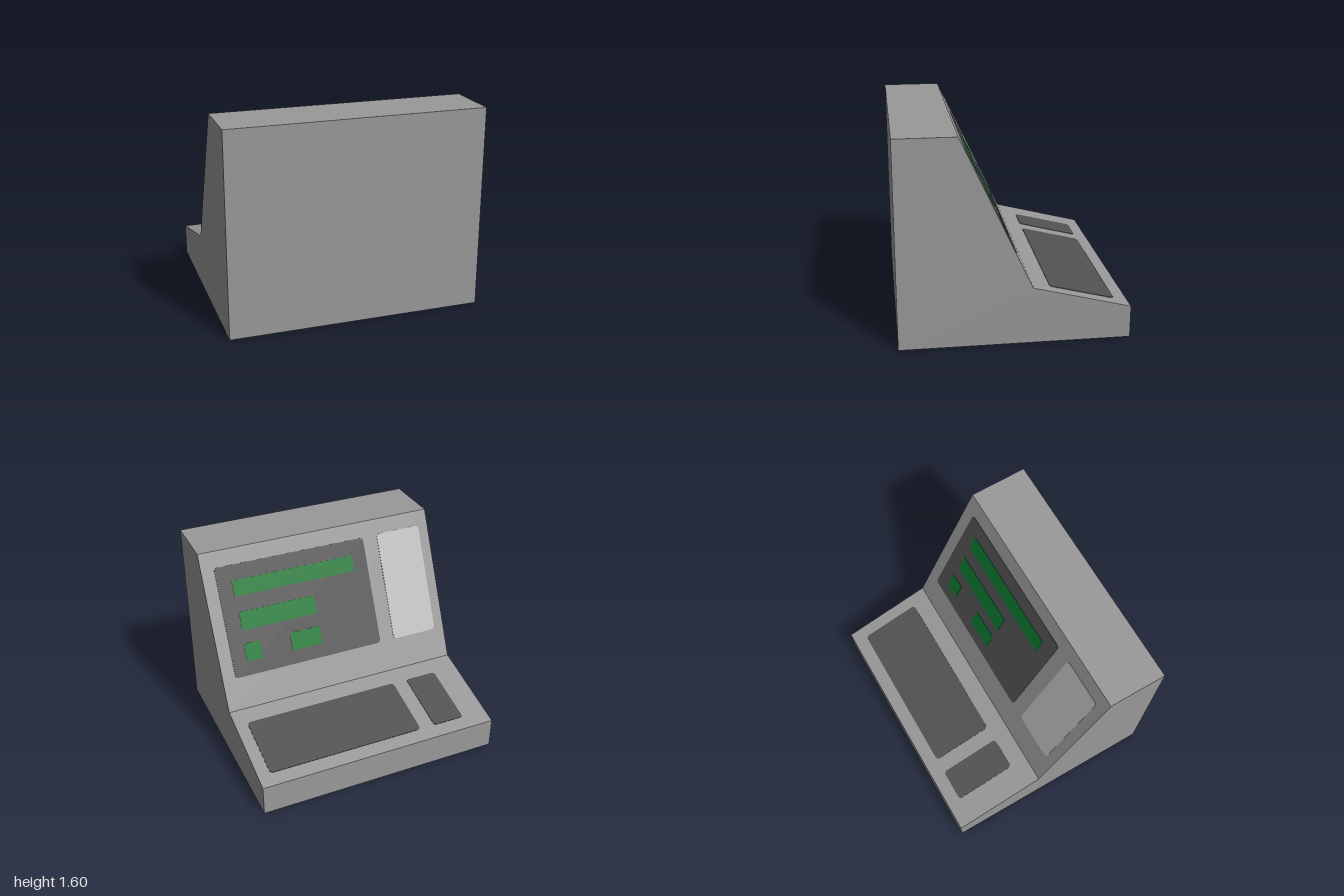
import * as THREE from 'three';

const mat = (name, color) => {
  const m = new THREE.MeshStandardMaterial({ color });
  m.name = name;
  return m;
};

// Side outline as [z, y]; the sloped desk and screen faces look towards -z
const DESK_EDGE = [-0.875, 0.25], HINGE = [-0.13, 0.44], SCREEN_TOP = [0.41, 1.6];
const OUTLINE = [[-0.875, 0], [0.875, 0], [0.875, 1.6], SCREEN_TOP, HINGE, DESK_EDGE];

function roundedRect(w, h, r) {
  const s = new THREE.Shape();
  const x = w / 2, y = h / 2;
  s.absarc(x - r, y - r, r, 0, Math.PI / 2);
  s.absarc(-x + r, y - r, r, Math.PI / 2, Math.PI);
  s.absarc(-x + r, -y + r, r, Math.PI, Math.PI * 1.5);
  s.absarc(x - r, -y + r, r, Math.PI * 1.5, Math.PI * 2);
  s.closePath();
  return s;
}

// Group whose local xy plane lies on the sloped face from low to high
function slopedFace(name, low, high) {
  const face = new THREE.Group();
  face.name = name;
  const u = new THREE.Vector3(-1, 0, 0);
  const v = new THREE.Vector3(0, high[1] - low[1], high[0] - low[0]).normalize();
  const n = new THREE.Vector3().crossVectors(u, v);
  face.applyMatrix4(new THREE.Matrix4().makeBasis(u, v, n).setPosition(0, low[1], low[0]));

  // Thin plate covering x0..x1 and z0..z1 as seen from above
  const addPlate = (plateName, material, [x0, x1, z0, z1], radius, lift = 0) => {
    const h = (z1 - z0) / v.z;
    const geo = new THREE.ExtrudeGeometry(roundedRect(x1 - x0, h, radius),
      { depth: 0.004, bevelEnabled: false, curveSegments: 6 });
    const plate = new THREE.Mesh(geo, material);
    plate.name = plateName;
    plate.position.set(-(x0 + x1) / 2, (z0 - low[0]) / v.z + h / 2, lift);
    face.add(plate);
  };
  return { face, addPlate };
}

export function createModel() {
  const model = new THREE.Group();
  model.name = 'computerTerminal';
  const casing = mat('casing grey', 0x999999);
  const dark = mat('dark grey', 0x525252);
  const light = mat('light grey', 0xbdbdbd);
  const green = mat('screen green', 0x0d7730);

  // Casing: side outline extruded across the full width
  const shape = new THREE.Shape(OUTLINE.map(([z, y]) => new THREE.Vector2(z, y)));
  const bodyGeo = new THREE.ExtrudeGeometry(shape, { depth: 2, bevelEnabled: false });
  bodyGeo.translate(0, 0, -1).rotateY(-Math.PI / 2);
  const body = new THREE.Mesh(bodyGeo, casing);
  body.name = 'casing';
  model.add(body);

  // Desk with main keyboard and number pad
  const desk = slopedFace('keyboardDesk', DESK_EDGE, HINGE);
  desk.addPlate('keyboard', dark, [-0.395, 0.9, -0.765, -0.27], 0.03);
  desk.addPlate('numberPad', dark, [-0.785, -0.52, -0.765, -0.27], 0.025);
  model.add(desk.face);

  // Screen, side panel and lines of glowing text blocks
  const screen = slopedFace('screenFace', HINGE, SCREEN_TOP);
  screen.addPlate('screen', dark, [-0.392, 0.895, -0.022, 0.355], 0.03);
  screen.addPlate('sidePanel', light, [-0.912, -0.52, -0.022, 0.358], 0.03);
  const bars = [
    [-0.265, 0.775, 0.248, 0.303],
    [0.12, 0.765, 0.132, 0.195],
    [0.12, 0.383, 0.025, 0.087],
    [0.64, 0.775, 0.025, 0.087],
  ];
  bars.forEach((area, i) => screen.addPlate('screenBar' + (i + 1), green, area, 0.008, 0.003));
  model.add(screen.face);

  return model;
}
